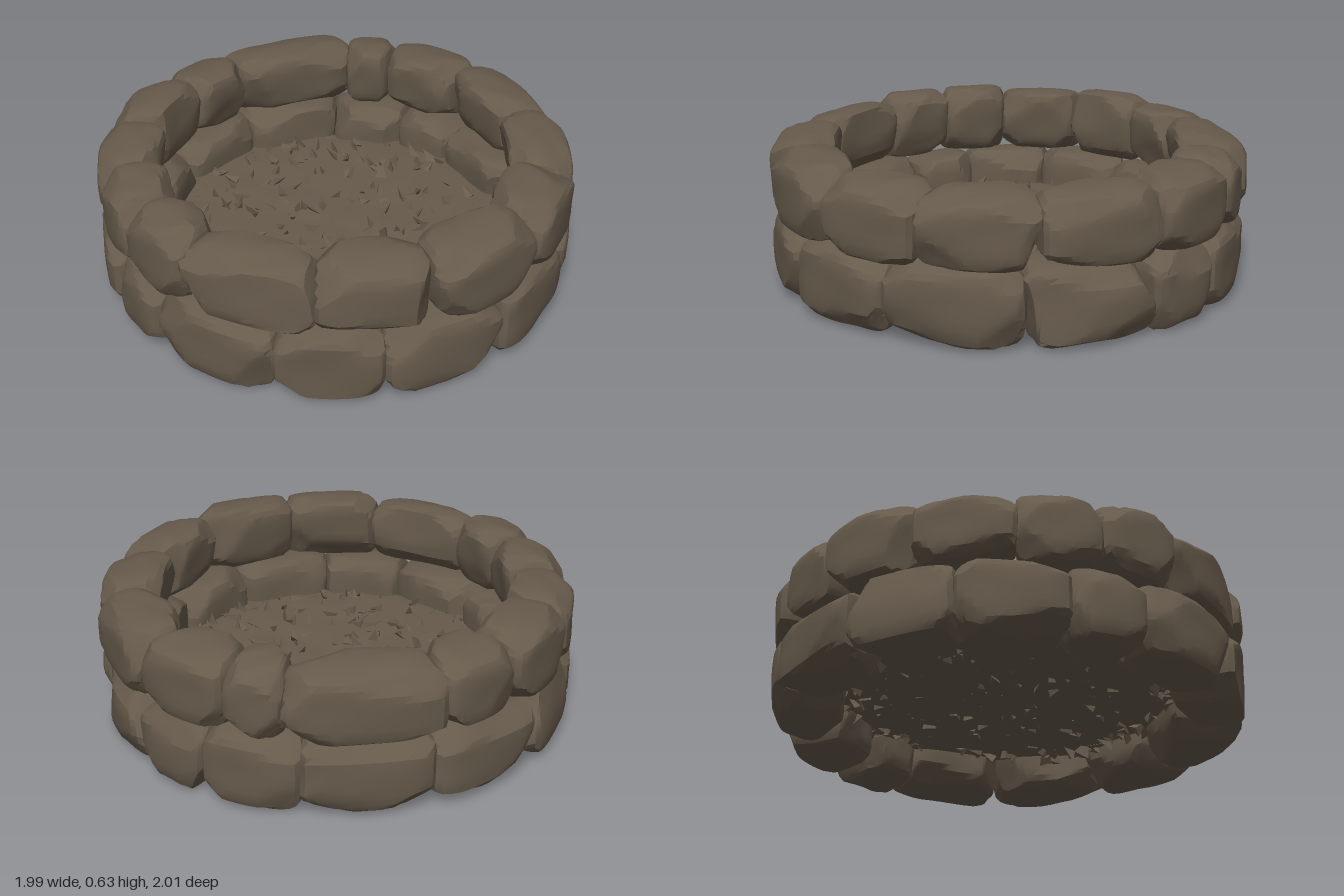
import * as THREE from 'three';
import { mergeGeometries, toCreasedNormals } from 'three/addons/utils/BufferGeometryUtils.js';

// Small seeded generator so every build is identical
function makeRandom(seed) {
  let s = seed;
  return () => {
    s = (s * 1664525 + 1013904223) % 4294967296;
    return s / 4294967296;
  };
}

const rad = THREE.MathUtils.degToRad;
const mix = THREE.MathUtils.lerp;

// One hewn block, filling a slice of the ring between two angles (0 = front, 90 = +x)
// lean pulls the foot of the inner face outwards
function stoneGeometry(a0, a1, y0, y1, inner, outer, lean, rnd) {
  const geo = new THREE.BoxGeometry(2, 2, 2, 10, 8, 8);
  const pos = geo.attributes.position;
  const mid = rad((a0 + a1) / 2);
  const half = rad((a1 - a0) / 2) * 1.03;

  // Random planes that chip the corners and edges
  const cuts = [];
  for (let i = 0; i < 14; i++) {
    const n = new THREE.Vector3(rnd() * 2 - 1, rnd() * 2 - 1, rnd() * 2 - 1);
    if (i < 8) n.set(i & 1 ? 1 : -1, i & 2 ? 1 : -1, i & 4 ? 1 : -1).multiplyScalar(0.8).add(
      new THREE.Vector3(rnd() - 0.5, rnd() - 0.5, rnd() - 0.5));
    n.normalize();
    const reach = Math.abs(n.x) + Math.abs(n.y) + Math.abs(n.z);
    cuts.push({ n, d: Math.max(0.92, reach * (0.68 + rnd() * 0.12)) });
  }
  const ph = rnd() * 6.28;
  const p = new THREE.Vector3();
  for (let i = 0; i < pos.count; i++) {
    p.fromBufferAttribute(pos, i);
    // Rounded cube
    const k = Math.pow(Math.abs(p.x) ** 6 + Math.abs(p.y) ** 6 + Math.abs(p.z) ** 6, -1 / 6);
    p.multiplyScalar(k);
    for (const { n, d } of cuts) {
      const over = p.dot(n) - d;
      if (over > 0) p.addScaledVector(n, -over);
    }
    // Gentle dents
    p.multiplyScalar(1 + 0.018 * Math.sin(p.x * 3 + ph) * Math.sin(p.y * 4 + ph * 2) + 0.012 * Math.sin(p.z * 5 + p.x * 4 + ph));
    // Bend into the ring, part way between an arc and a straight chord
    const a = p.x * half;
    const foot = inner + lean * (1 - p.y) / 2;
    const r = mix(foot, outer, (p.z + 1) / 2) * mix(1, 1 / Math.cos(a), 0.45);
    // Worn outer shoulder and inner foot
    const wear = 0.03 * (Math.max(0, -p.z) * Math.max(0, -p.y) - Math.max(0, p.z) * Math.max(0, p.y));
    pos.setXYZ(i, Math.sin(mid + a) * r, mix(y0, y1, (p.y + 1) / 2) + wear, Math.cos(mid + a) * r);
  }
  return toCreasedNormals(geo, rad(24));
}

// A closed course of stones from a list of joint angles
function stoneCourse(name, joints, y0, y1, inner, lean, seed, material) {
  const group = new THREE.Group();
  group.name = name;
  const rnd = makeRandom(seed);
  joints.forEach((a0, i) => {
    const a1 = i + 1 < joints.length ? joints[i + 1] : joints[0] + 360;
    const geo = stoneGeometry(a0, a1, y0 + rnd() * 0.01, y1 + (rnd() - 0.5) * 0.025,
      inner + (rnd() - 0.5) * 0.02, 0.993 + (rnd() - 0.5) * 0.015, lean, rnd);
    const stone = new THREE.Mesh(geo, material);
    stone.name = 'stone';
    group.add(stone);
  });
  return group;
}

// Thin uneven sheet of ash
function ashBed(material) {
  const geo = new THREE.LatheGeometry([
    [0, 0.17], [0.25, 0.17], [0.5, 0.17], [0.73, 0.165], [0.74, 0.175], [0.65, 0.183],
    [0.55, 0.185], [0.44, 0.185], [0.33, 0.185], [0.22, 0.185], [0.11, 0.185], [0, 0.185],
  ].map(([x, y]) => new THREE.Vector2(x, y)), 40);
  const pos = geo.attributes.position;
  for (let i = 0; i < pos.count; i++) {
    const x = pos.getX(i), y = pos.getY(i), z = pos.getZ(i);
    if (y > 0.18) pos.setY(i, y + 0.007 * Math.sin(x * 17 + z * 5) * Math.cos(z * 19 - x * 4));
  }
  const mesh = new THREE.Mesh(toCreasedNormals(geo, rad(30)), material);
  mesh.name = 'ashBed';
  return mesh;
}

// Scattered angular flakes: leaning three-sided slivers
function flakes(name, count, rMin, rMax, y, size, seed, material) {
  const rnd = makeRandom(seed);
  const parts = [];
  const m = new THREE.Matrix4();
  for (let i = 0; i < count; i++) {
    const a = rnd() * Math.PI * 2;
    const r = Math.sqrt(mix(rMin * rMin, rMax * rMax, rnd()));
    const s = size * (0.6 + rnd() * 0.7);
    const geo = new THREE.ConeGeometry(s * 0.55, s * 1.3, 3);
    geo.scale(1, 1, 0.5);
    const turn = new THREE.Quaternion().setFromEuler(
      new THREE.Euler((rnd() - 0.5) * 2.8, rnd() * 6.28, (rnd() - 0.5) * 2.8));
    m.compose(new THREE.Vector3(Math.sin(a) * r, y, Math.cos(a) * r), turn, new THREE.Vector3(1, 1, 1));
    parts.push(geo.applyMatrix4(m).toNonIndexed());
  }
  const merged = mergeGeometries(parts);
  merged.computeVertexNormals();
  const mesh = new THREE.Mesh(merged, material);
  mesh.name = name;
  return mesh;
}

export function createModel() {
  const stoneBrown = new THREE.MeshStandardMaterial({ color: 0x665a4b });
  stoneBrown.name = 'stoneBrown';

  const model = new THREE.Group();
  model.name = 'stoneFirePit';

  // Two courses with staggered joints
  const lowerJoints = [-80, -48, -22, 9, 38, 71, 103, 123, 147, 178, 208, 235, 261];
  const upperJoints = [-160, -135, -111, -91, -71, -38, -10, 20, 46, 75, 105, 129, 143, 180];
  model.add(stoneCourse('lowerCourse', lowerJoints, 0, 0.335, 0.685, 0.01, 11, stoneBrown));
  model.add(stoneCourse('upperCourse', upperJoints, 0.305, 0.615, 0.71, 0.04, 29, stoneBrown));

  // Fire bed
  model.add(ashBed(stoneBrown));
  model.add(flakes('ashFlakes', 190, 0, 0.67, 0.197, 0.054, 5, stoneBrown));
  model.add(flakes('rimFlakes', 110, 0.62, 0.72, 0.165, 0.06, 8, stoneBrown));

  return model;
}
